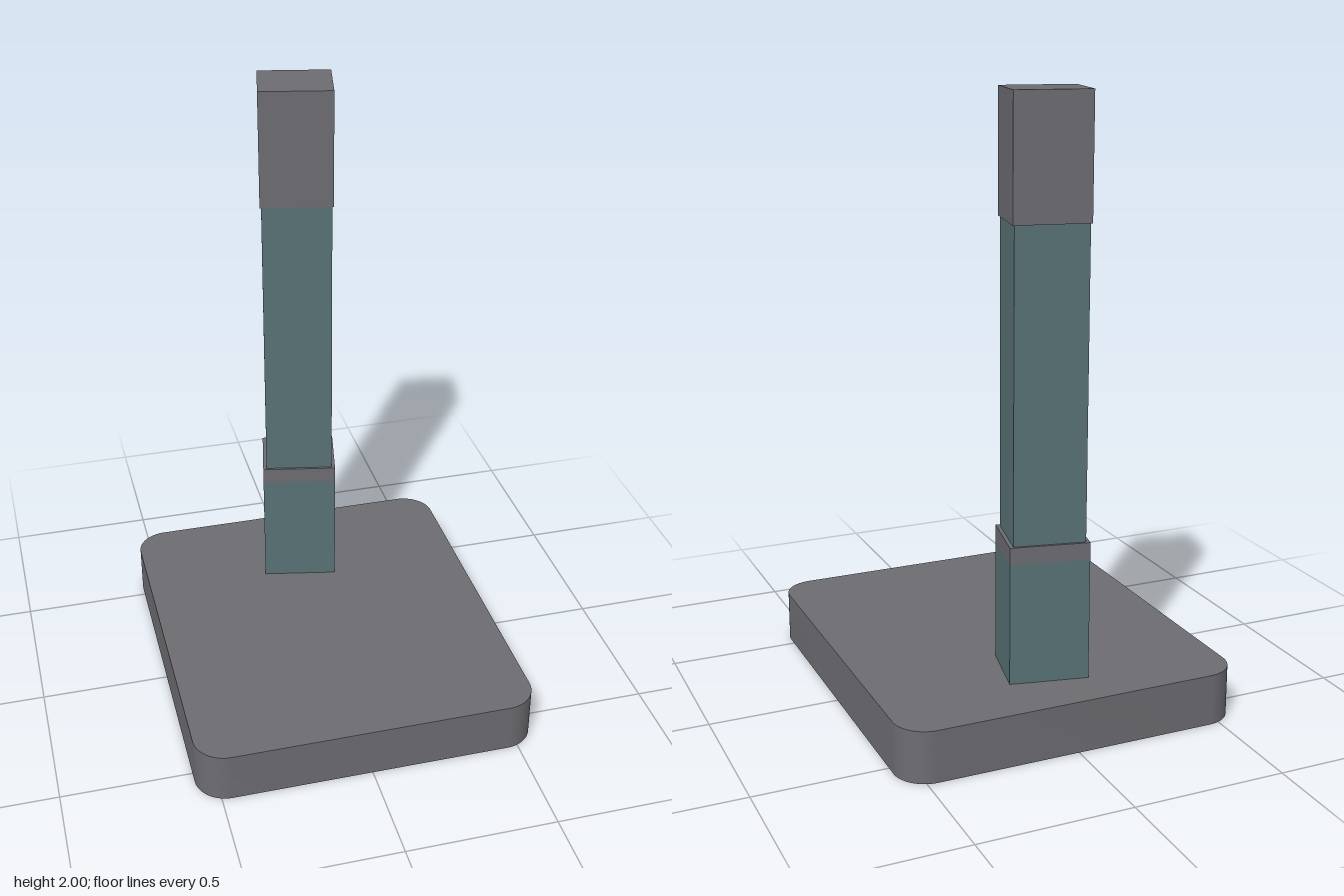
import * as THREE from 'three';
import { toCreasedNormals } from 'three/addons/utils/BufferGeometryUtils.js';

export function createModel() {
  const model = new THREE.Group();
  model.name = 'postOnPlinth';

  const makeMaterial = (name, color) => {
    const material = new THREE.MeshStandardMaterial({ color });
    material.name = name;
    return material;
  };
  const grey = makeMaterial('grey', 0x6d6c71);
  const teal = makeMaterial('teal', 0x587274);

  // Plinth: rounded rectangle extruded upwards
  const hx = 0.57, hz = 0.642, r = 0.105, plinthTop = 0.17;
  const outline = new THREE.Shape();
  outline.absarc(hx - r, hz - r, r, 0, Math.PI / 2);
  outline.absarc(-hx + r, hz - r, r, Math.PI / 2, Math.PI);
  outline.absarc(-hx + r, -hz + r, r, Math.PI, Math.PI * 1.5);
  outline.absarc(hx - r, -hz + r, r, Math.PI * 1.5, Math.PI * 2);
  outline.closePath();
  const plinthGeometry = new THREE.ExtrudeGeometry(outline, {
    depth: plinthTop, bevelEnabled: false, curveSegments: 10,
  });
  plinthGeometry.rotateX(-Math.PI / 2);
  const plinth = new THREE.Mesh(toCreasedNormals(plinthGeometry, 0.6), grey);
  plinth.name = 'plinth';
  model.add(plinth);

  // Post: stacked blocks, turned slightly and set towards the back
  const post = new THREE.Group();
  post.name = 'post';
  post.position.z = -0.364;
  post.rotation.y = THREE.MathUtils.degToRad(-12);
  model.add(post);

  const addBlock = (name, width, depth, bottom, top, material) => {
    const block = new THREE.Mesh(new THREE.BoxGeometry(width, top - bottom, depth), material);
    block.name = name;
    block.position.y = (bottom + top) / 2;
    post.add(block);
  };
  addBlock('postFoot', 0.254, 0.219, plinthTop, 0.567, teal);
  addBlock('footTrim', 0.254, 0.219, 0.567, 0.622, grey);
  addBlock('postShaft', 0.230, 0.203, 0.622, 1.612, teal);
  addBlock('postCap', 0.240, 0.211, 1.612, 2, grey);

  return model;
}
